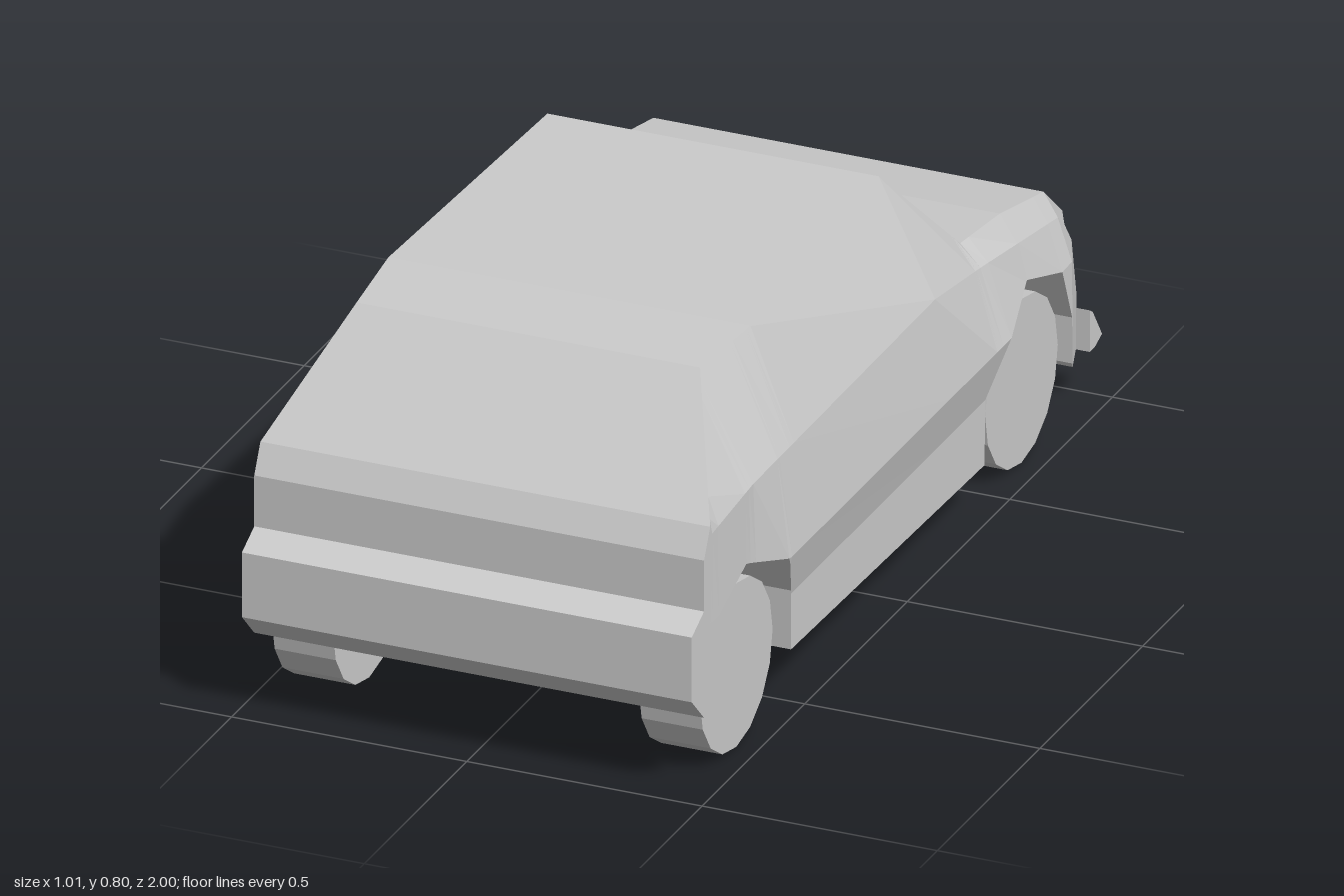
import * as THREE from 'three';

const material = new THREE.MeshStandardMaterial({ color: 0xcccccc, flatShading: true });

// Outline knots along the car: [z, value]; the bonnet points to -z.
const floorY = [[-0.95, 0.12], [-0.86, 0.12], [-0.44, 0.1], [0.52, 0.12], [0.9, 0.16], [0.94, 0.16]];
const archY = [[-0.95, 0.12], [-0.865, 0.12], [-0.86, 0.13], [-0.88 + 0.021, 0.23], [-0.81, 0.35], [-0.655, 0.4],
  [-0.5, 0.35], [-0.435, 0.24], [-0.43, 0.1], [0.515, 0.12], [0.52, 0.25], [0.58, 0.35], [0.74, 0.405],
  [0.87, 0.35], [0.94, 0.27]];
const topY = [[-0.95, 0.41], [-0.86, 0.49], [-0.65, 0.535], [-0.46, 0.555], [-0.2, 0.803], [0.5, 0.795],
  [0.7, 0.79], [0.91, 0.56], [0.94, 0.5]];
const topX = [[-0.95, 0.415], [-0.46, 0.412], [-0.2, 0.352], [0.5, 0.385], [0.7, 0.365], [0.91, 0.478], [0.94, 0.478]];
const shoulderY = [[-0.95, 0.38], [-0.86, 0.44], [-0.46, 0.51], [-0.2, 0.56], [0.7, 0.56], [0.91, 0.54], [0.94, 0.48]];
const shoulderX = [[-0.95, 0.42], [-0.86, 0.445], [-0.46, 0.455], [-0.2, 0.472], [0.7, 0.478], [0.94, 0.478]];
const beltX = [[-0.95, 0.435], [-0.86, 0.475], [-0.65, 0.482], [-0.5, 0.504], [0.57, 0.504], [0.72, 0.482], [0.94, 0.478]];
const sillX = [[-0.95, 0.445], [-0.86, 0.476], [0.94, 0.478]];

function at(knots, t) {
  for (let i = 1; i < knots.length; i++) {
    const [a, va] = knots[i - 1], [b, vb] = knots[i];
    if (t <= b) return va + (vb - va) * Math.max(0, (t - a) / (b - a));
  }
  return knots[knots.length - 1][1];
}

// Half cross-section, from the floor up to the roof edge
function section(z) {
  const floor = at(floorY, z);
  const arch = Math.max(floor, at(archY, z));
  const shoulder = at(shoulderY, z);
  const side = [[0.24, at(sillX, z)], [0.35, at(beltX, z)], [shoulder, at(shoulderX, z)]];
  const point = (y) => [at(side, y), y];
  return [
    [0.295, floor], [0.295, arch], point(arch), point(Math.max(0.24, arch)),
    point(Math.max(0.35, arch)), point(shoulder), [at(topX, z), at(topY, z)],
  ];
}

// Body shell with wheel wells, lofted through the sections
function bodyGeometry() {
  const all = [floorY, archY, topY, topX, shoulderY, shoulderX, beltX, sillX].flat().map((k) => k[0]);
  const stations = [...new Set(all)].sort((a, b) => a - b);
  const positions = [], index = [];
  const half = 7, ring = 14;
  for (const z of stations) {
    const right = section(z);
    const left = right.map(([x, y]) => [-x, y]).reverse();
    for (const [x, y] of [...right, ...left]) positions.push(x, y, z);
  }
  const quad = (a, b, c, d) => index.push(a, b, c, a, c, d);
  for (let s = 0; s < stations.length - 1; s++) {
    for (let i = 0; i < ring; i++) {
      const j = (i + 1) % ring, a = s * ring, b = a + ring;
      quad(a + i, a + j, b + j, b + i);
    }
  }
  // Nose and tail panels
  const last = (stations.length - 1) * ring;
  for (let i = 0; i < half - 1; i++) {
    const mi = ring - 1 - i;
    quad(mi, mi - 1, i + 1, i);
    quad(last + i, last + i + 1, last + mi - 1, last + mi);
  }
  const geometry = new THREE.BufferGeometry();
  geometry.setAttribute('position', new THREE.Float32BufferAttribute(positions, 3));
  geometry.setIndex(index);
  const flat = geometry.toNonIndexed();
  flat.computeVertexNormals();
  return flat;
}

// Side profile of [z, y] points swept across the car's width
function across(profile, width) {
  const shape = new THREE.Shape(profile.map(([z, y]) => new THREE.Vector2(z, y)));
  return new THREE.ExtrudeGeometry(shape, { depth: width, bevelEnabled: false })
    .rotateY(-Math.PI / 2).translate(width / 2, 0, 0);
}

export function createModel() {
  const car = new THREE.Group();
  car.name = 'car';
  const add = (name, geometry, x = 0, y = 0, z = 0) => {
    const mesh = new THREE.Mesh(geometry, material);
    mesh.name = name;
    mesh.position.set(x, y, z);
    car.add(mesh);
  };

  add('body', bodyGeometry());
  add('rearBumper', across([[0.935, 0.39], [0.935, 0.16], [0.94, 0.16], [1, 0.22], [1, 0.36], [0.94, 0.39]], 0.956));
  add('frontLip', across([[-0.94, 0.12], [-0.94, 0.21], [-0.955, 0.2], [-1, 0.133], [-0.965, 0.12]], 0.956));
  add('grille', across([[-0.94, 0.15], [-0.94, 0.355], [-0.955, 0.35], [-0.998, 0.3], [-0.998, 0.23], [-0.975, 0.15]], 0.59));

  // Wheels
  const wheel = new THREE.CylinderGeometry(0.177, 0.177, 0.13, 16).rotateZ(Math.PI / 2);
  for (const [end, z] of [['front', -0.66], ['rear', 0.73]]) {
    for (const [side, x] of [['Left', 0.39], ['Right', -0.39]]) add(`${end}Wheel${side}`, wheel, x, 0.177, z);
  }
  return car;
}
